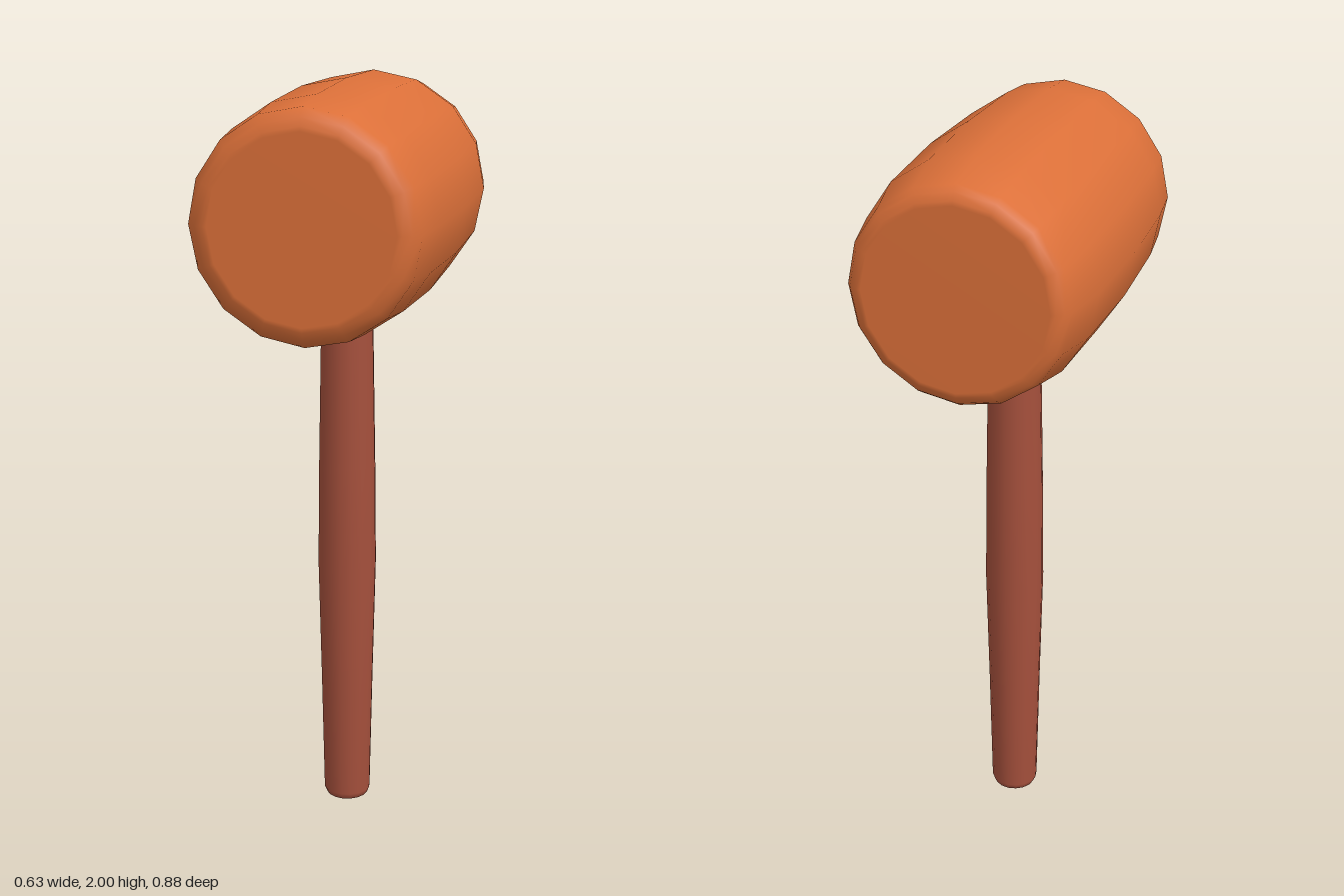
import * as THREE from 'three';

// Smooth turned part from [radius, height] pairs, listed bottom to top
function turned(name, profile, sides, color) {
  const points = profile.map(([r, y]) => new THREE.Vector2(r, y));
  const mesh = new THREE.Mesh(
    new THREE.LatheGeometry(points, sides),
    new THREE.MeshStandardMaterial({ color })
  );
  mesh.name = name;
  return mesh;
}

export function createModel() {
  const group = new THREE.Group();
  group.name = 'mallet';

  // Handle: swells in the middle, rounded butt, top end sunk into the head
  group.add(turned('handle', [
    [0, 0], [0.05, 0], [0.057, 0.003], [0.064, 0.02],
    [0.071, 0.36], [0.079, 0.7], [0.076, 0.98], [0.069, 1.38],
    [0.066, 1.5], [0, 1.5],
  ], 16, 0xa5503c));

  // Head: barrel lying along z with bevelled flat ends, back a little slimmer
  const head = turned('head', [
    [0, -0.44], [0.235, -0.44], [0.247, -0.438], [0.266, -0.428], [0.278, -0.41],
    [0.304, -0.28], [0.313, 0], [0.304, 0.28],
    [0.29, 0.407], [0.268, 0.426], [0.247, 0.435], [0.235, 0.437], [0, 0.437],
  ], 16, 0xdc7039);
  head.geometry.rotateX(Math.PI / 2);
  head.position.y = 1.687;
  group.add(head);

  return group;
}
